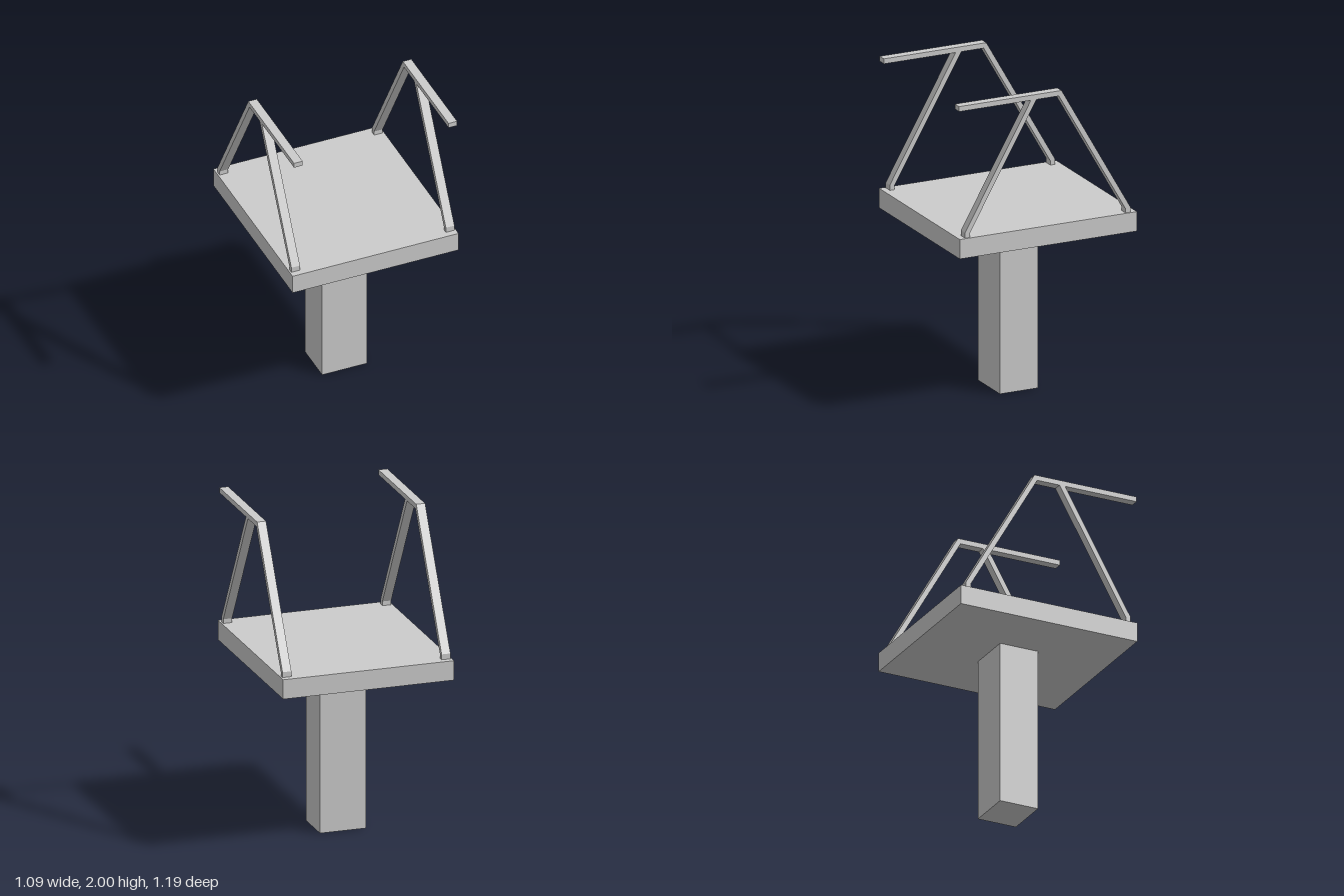
import * as THREE from 'three';

const SEAT_BOTTOM = 1.04, SEAT_TOP = 1.163;
const ARM_WIDTH = 0.056, ARM_X = 0.505;

export function createModel() {
  const group = new THREE.Group();
  const material = new THREE.MeshStandardMaterial({ color: 0xcccccc, flatShading: true });

  const add = (name, geometry, x, y) => {
    const mesh = new THREE.Mesh(geometry, material);
    mesh.name = name;
    mesh.position.set(x, y, 0);
    group.add(mesh);
  };

  // Square column and the slab seat on top of it
  add('pedestal', new THREE.BoxGeometry(0.293, SEAT_BOTTOM, 0.255), 0, SEAT_BOTTOM / 2);
  add('seat', new THREE.BoxGeometry(1.085, SEAT_TOP - SEAT_BOTTOM, 1.186), 0, (SEAT_BOTTOM + SEAT_TOP) / 2);

  // Side profile of an armrest (z, y): level bar with two splayed struts ending in short feet
  const profile = new THREE.Shape([
    [0.593, 2], [-0.093, 2],
    [-0.553, 1.197], [-0.553, SEAT_TOP], [-0.521, SEAT_TOP], [-0.521, 1.19],
    [-0.075, 1.968], [0.075, 1.968],
    [0.521, 1.19], [0.521, SEAT_TOP], [0.553, SEAT_TOP], [0.553, 1.197],
    [0.112, 1.968], [0.593, 1.968],
  ].map(([z, y]) => new THREE.Vector2(z, y)));
  const arm = new THREE.ExtrudeGeometry(profile, { depth: ARM_WIDTH, bevelEnabled: false });
  arm.translate(0, 0, -ARM_WIDTH / 2);
  arm.rotateY(-Math.PI / 2); // profile x becomes model z

  add('leftArmrest', arm, ARM_X, 0);
  add('rightArmrest', arm, -ARM_X, 0);

  return group;
}
